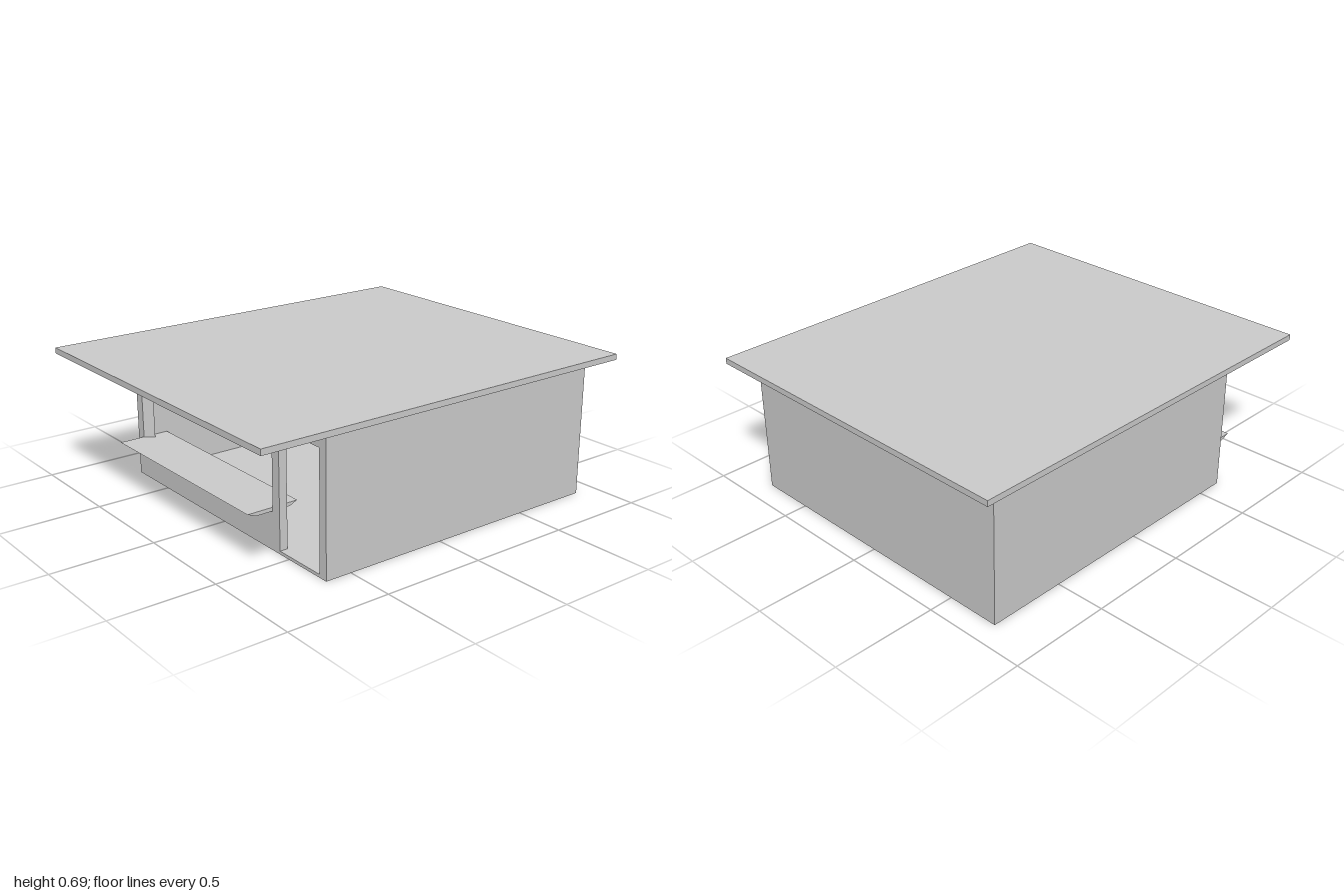
import * as THREE from 'three';

const material = new THREE.MeshStandardMaterial({ color: 0xcccccc, flatShading: true });

// Box given by its extents on each axis
function block(name, [x0, x1], [y0, y1], [z0, z1]) {
  const geometry = new THREE.BoxGeometry(x1 - x0, y1 - y0, z1 - z0);
  geometry.translate((x0 + x1) / 2, (y0 + y1) / 2, (z0 + z1) / 2);
  const mesh = new THREE.Mesh(geometry, material);
  mesh.name = name;
  return mesh;
}

function extrude(points, depth) {
  const shape = new THREE.Shape(points.map(([x, y]) => new THREE.Vector2(x, y)));
  return new THREE.ExtrudeGeometry(shape, { depth, bevelEnabled: false });
}

export function createModel() {
  const group = new THREE.Group();
  const W = 0.76, INNER = 0.715, FRONT = 0.63, FRONT_IN = 0.59, BACK = -0.885;
  const FLOOR = 0.015, SILL = 0.185, LINTEL = 0.575, TOP = 0.667;

  // Overhanging flat roof and floor slab
  group.add(block('roof', [-0.845, 0.845], [TOP, 0.695], [-1, 1]));
  group.add(block('floor', [-W, W], [0, FLOOR], [BACK, FRONT]));

  // Side and back walls
  group.add(block('rightWall', [-W, -INNER], [FLOOR, TOP], [BACK, FRONT_IN]));
  group.add(block('leftWall', [INNER, W], [FLOOR, TOP], [BACK, FRONT]));
  group.add(block('backWall', [-INNER, INNER], [FLOOR, TOP], [BACK, BACK + 0.045]));

  // Front wall around the serving window and the doorway
  group.add(block('header', [-0.67, INNER], [LINTEL, TOP], [FRONT_IN, FRONT]));
  group.add(block('windowSill', [-0.67, 0.385], [FLOOR, SILL], [FRONT_IN, FRONT]));
  group.add(block('doorPost', [0.385, 0.435], [FLOOR, LINTEL], [FRONT_IN, FRONT]));

  // Window jamb with a splayed reveal
  const jamb = extrude([[-W, -FRONT], [-0.71, -FRONT], [-0.67, -FRONT_IN], [-W, -FRONT_IN]], TOP - FLOOR);
  jamb.rotateX(-Math.PI / 2).translate(0, FLOOR, 0);
  const jambMesh = new THREE.Mesh(jamb, material);
  jambMesh.name = 'windowJamb';
  group.add(jambMesh);

  // Fill beside the jamb above and below the window
  group.add(block('jambHeader', [-0.71, -0.67], [LINTEL, TOP], [FRONT_IN, FRONT]));
  group.add(block('jambSill', [-0.71, -0.67], [FLOOR, SILL], [FRONT_IN, FRONT]));

  // Serving counter with undercut edges, profile in z and y
  const counter = extrude([[0.5, 0.203], [0.54, SILL], [0.715, SILL], [0.76, 0.203]], 1.095);
  counter.rotateY(-Math.PI / 2).translate(0.385, 0, 0);
  const counterMesh = new THREE.Mesh(counter, material);
  counterMesh.name = 'servingCounter';
  group.add(counterMesh);

  return group;
}
